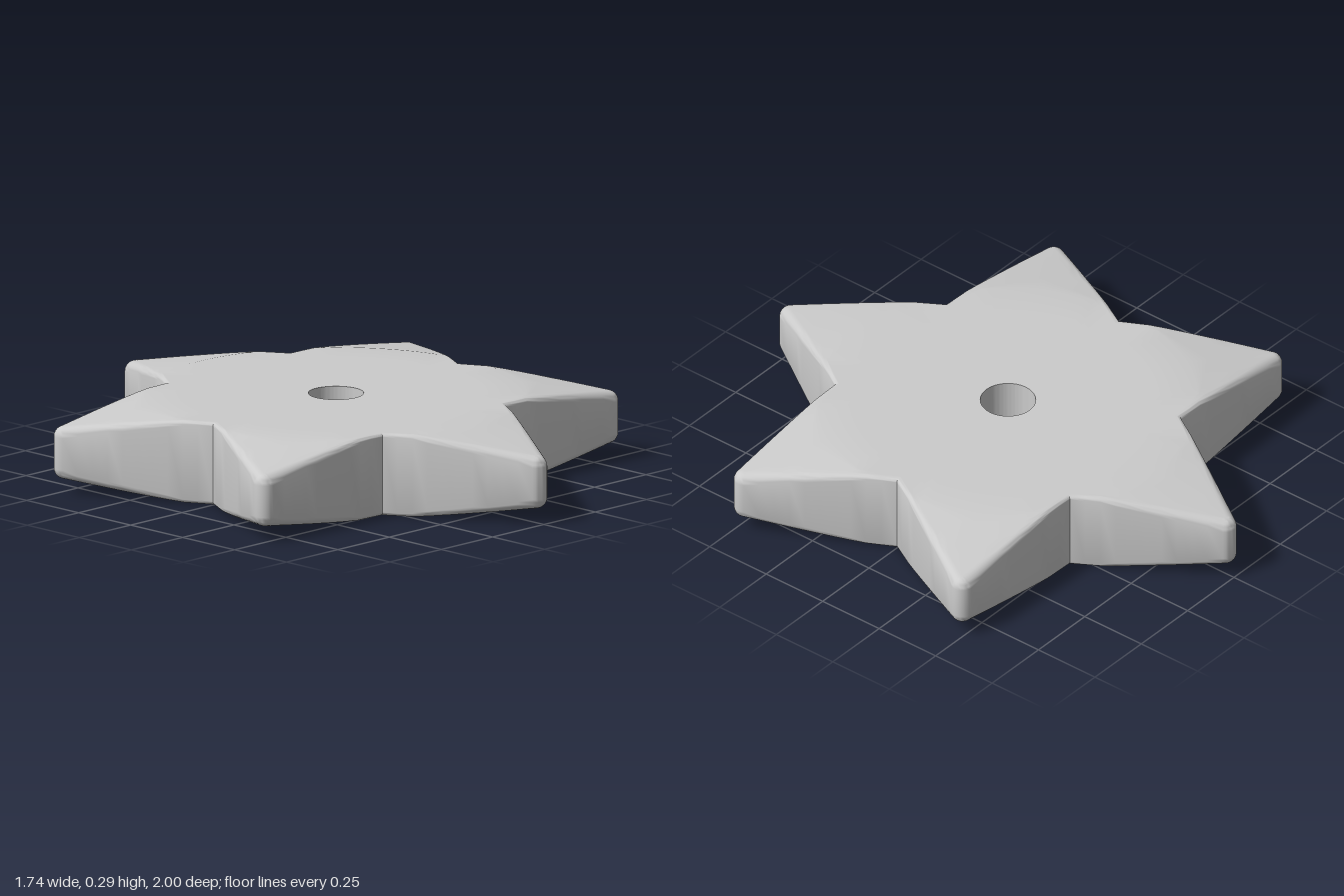
import * as THREE from 'three';
import { toCreasedNormals } from 'three/addons/utils/BufferGeometryUtils.js';

const MID = 0.145, HOLE = 0.095, NOTCH = 0.6, FLAT = 0.65, TIP_R = 0.04, TIP_C = 0.96;

// Half thickness: flat in the middle, sloping down conically towards the points
const halfHeight = r => MID - Math.max(0, r - FLAT) * 0.167;

// Star outline: position, outward normal and edge rounding for every point
function outline() {
  const pts = [], EDGE = 10, ARC = 8;
  for (let k = 0; k < 6; k++) {
    const turn = Math.PI / 6 + k * Math.PI / 3;
    const add = (x, z, nx, nz, f) => {
      const c = Math.cos(turn), s = Math.sin(turn);
      pts.push({ x: x * c - z * s, z: x * s + z * c, nx: nx * c - nz * s, nz: nx * s + nz * c, f });
    };
    const c60 = 0.5, s60 = Math.sqrt(3) / 2;
    const notch = [NOTCH * s60, NOTCH * 0.5], end = [TIP_C + TIP_R * c60, TIP_R * s60];
    const edge = (t, side) => add(
      THREE.MathUtils.lerp(notch[0], end[0], t), side * THREE.MathUtils.lerp(notch[1], end[1], t),
      c60, side * s60, THREE.MathUtils.lerp(0.012, 0.037, t));
    // mitred notch, straight edge, rounded tip, straight edge back
    add(notch[0], -notch[1], 1, -0.5 / s60, 0.012);
    for (let i = 1; i < EDGE; i++) edge(i / EDGE, -1);
    for (let i = 0; i <= ARC; i++) {
      const a = (i / ARC * 2 - 1) * Math.PI / 3;
      add(TIP_C + TIP_R * Math.cos(a), TIP_R * Math.sin(a), Math.cos(a), Math.sin(a), 0.037);
    }
    for (let i = EDGE - 1; i > 0; i--) edge(i / EDGE, 1);
  }
  return pts;
}

// Cross-section from the hole over the top to the side: [x, height above the middle, z]
function section({ x, z, nx, nz, f }) {
  const ix = x - nx * f, iz = z - nz * f, r = Math.hypot(ix, iz);
  const inner = Math.min(FLAT, r * 0.97), out = [];
  const radial = q => out.push([ix / r * q, halfHeight(q), iz / r * q]);
  radial(HOLE);
  for (let i = 1; i <= 4; i++) radial(THREE.MathUtils.lerp(HOLE, inner, i / 4));
  for (let i = 1; i <= 4; i++) radial(THREE.MathUtils.lerp(inner, r, i / 4));
  for (let i = 1; i <= 6; i++) {
    const a = i / 6 * Math.PI / 2, d = f * Math.sin(a);
    out.push([ix + nx * d, halfHeight(r) - f * (1 - Math.cos(a)), iz + nz * d]);
  }
  return out;
}

function starGeometry() {
  // Mirror each section to the underside; the loop closes through the hole
  const loops = outline().map(p => {
    const top = section(p);
    return [...top, ...top.slice().reverse().map(([x, y, z]) => [x, -y, z])];
  });
  const n = loops.length, m = loops[0].length, pos = [], index = [];
  loops.forEach(l => l.forEach(([x, y, z]) => pos.push(x, y + MID, z)));
  for (let j = 0; j < n; j++) {
    for (let i = 0; i < m; i++) {
      const j2 = (j + 1) % n, i2 = (i + 1) % m;
      const a = j * m + i, b = j2 * m + i, c = j2 * m + i2, d = j * m + i2;
      index.push(a, b, d, b, c, d);
    }
  }
  const geo = new THREE.BufferGeometry();
  geo.setAttribute('position', new THREE.Float32BufferAttribute(pos, 3));
  geo.setIndex(index);
  return toCreasedNormals(geo, Math.PI / 4.5);
}

export function createModel() {
  const group = new THREE.Group();
  group.name = 'starWheel';
  const star = new THREE.Mesh(starGeometry(), new THREE.MeshStandardMaterial({ color: 0xcccccc }));
  star.name = 'sixPointedStar';
  group.add(star);
  return group;
}
